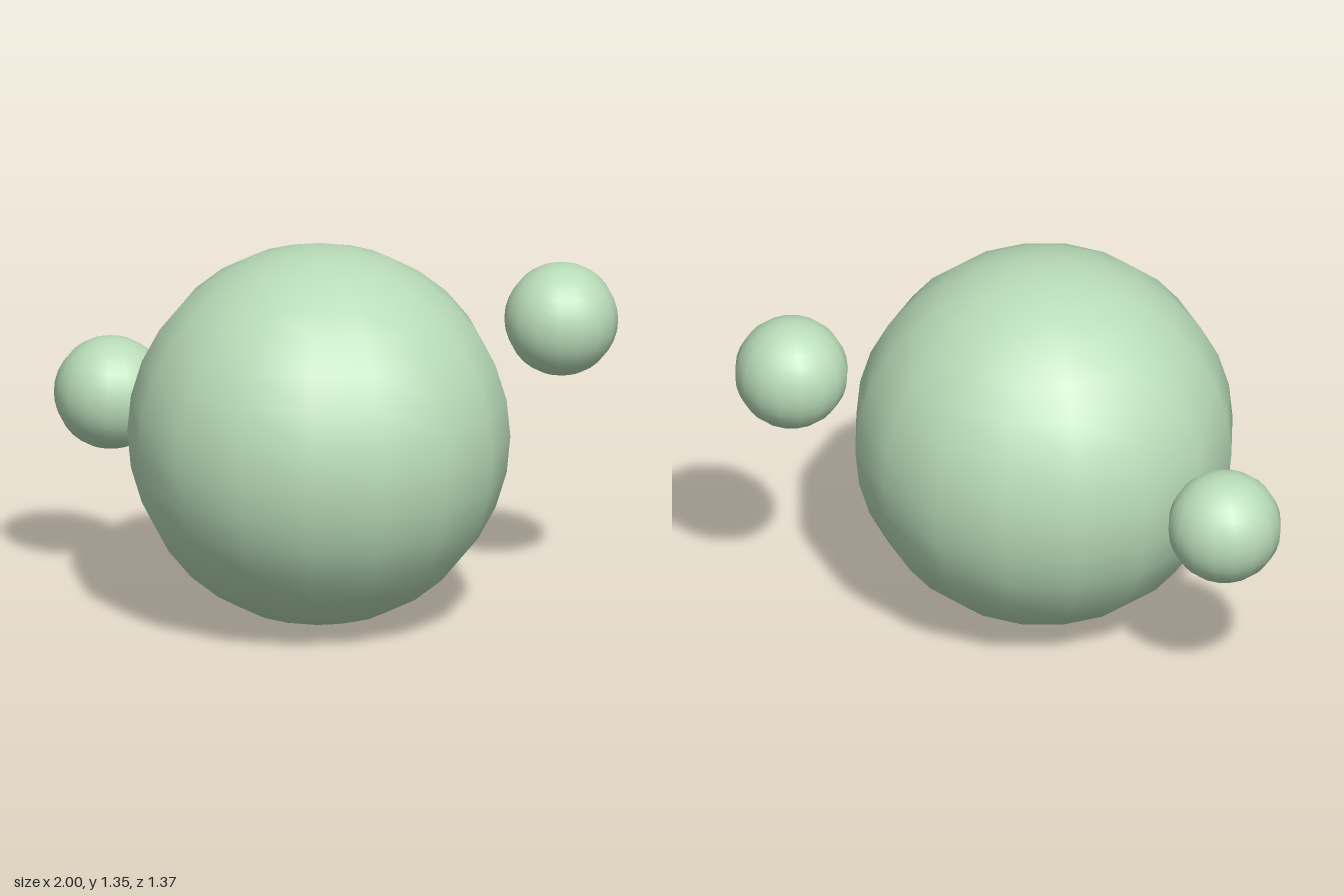
import * as THREE from 'three';

export function createModel() {
  const model = new THREE.Group();
  const material = new THREE.MeshStandardMaterial({ color: 0xb9dcb9 });

  function addBall(name, radius, x, y, z) {
    const ball = new THREE.Mesh(new THREE.SphereGeometry(radius, 16, 16), material);
    ball.name = name;
    ball.position.set(x, y, z);
    model.add(ball);
  }

  // Large central ball with two small satellites floating beside it
  addBall('mainBall', 0.676, -0.043, 0.681, 0.004);
  addBall('leftSmallBall', 0.201, 0.798, 1.02, -0.32);
  addBall('rightSmallBall', 0.201, -0.799, 0.681, -0.484);

  return model;
}
